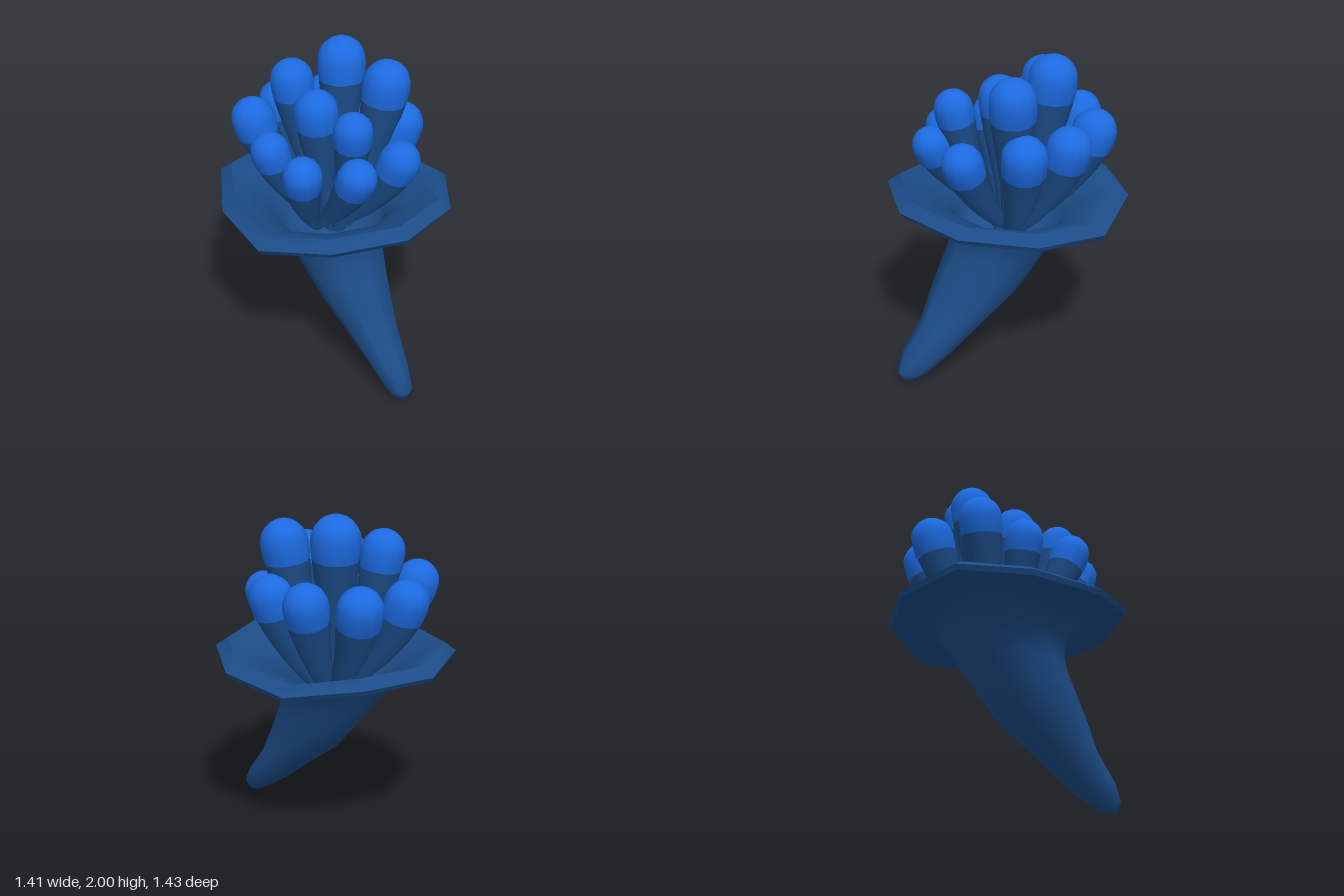
import * as THREE from 'three';
import { toCreasedNormals } from 'three/addons/utils/BufferGeometryUtils.js';

const SIDES = 10;
// Height offset of each rim corner, starting at +x and turning towards +z
const WAVE = [-0.01, 0.02, 0.04, 0.04, -0.03, 0, 0.035, 0, 0, -0.055];

// Rings of the funnel: [y, centre x, centre z, radius x, radius z, share of rim wave]
const RINGS = [
  // outside, from the foot up
  [0.0, 0.19, 0.66, 0.001, 0.001, 0],
  [0.012, 0.188, 0.648, 0.045, 0.05, 0],
  [0.06, 0.183, 0.615, 0.085, 0.105, 0],
  [0.17, 0.155, 0.515, 0.115, 0.165, 0],
  [0.34, 0.1, 0.345, 0.16, 0.207, 0],
  [0.51, 0.05, 0.2, 0.212, 0.275, 0],
  [0.66, 0.015, 0.1, 0.25, 0.3, 0],
  [0.79, -0.01, 0.02, 0.282, 0.318, 0],
  [0.87, -0.02, -0.015, 0.315, 0.335, 0],
  [0.95, -0.035, -0.04, 0.365, 0.37, 0.1],
  [1.03, -0.035, -0.045, 0.425, 0.42, 0.4],
  [1.08, -0.015, -0.035, 0.52, 0.52, 0.8],
  // lip
  [1.075, 0, -0.027, 0.69, 0.71, 1],
  [1.105, 0, -0.027, 0.705, 0.728, 1],
  [1.155, 0, -0.027, 0.635, 0.65, 1],
  // inside, going down
  [1.11, -0.01, -0.03, 0.535, 0.54, 0.75],
  [1.05, -0.02, -0.04, 0.42, 0.41, 0.4],
  [0.95, -0.03, -0.04, 0.335, 0.335, 0],
  [0.8, -0.01, 0.02, 0.25, 0.28, 0],
  [0.7, 0, 0.08, 0.001, 0.001, 0],
];

function funnelGeometry() {
  const pos = [], index = [];
  RINGS.forEach(([y, cx, cz, rx, rz, wave], i) => {
    for (let j = 0; j < SIDES; j++) {
      const a = (j / SIDES) * Math.PI * 2;
      // The rim corners lean to the right
      const skew = wave * (0.035 - 0.03 * Math.cos(a)) * Math.abs(Math.sin(a));
      pos.push(cx + rx * Math.cos(a) - skew, y + wave * WAVE[j], cz + rz * Math.sin(a));
      if (i === RINGS.length - 1) continue;
      const p = i * SIDES + j, q = i * SIDES + (j + 1) % SIDES;
      index.push(p, p + SIDES, q, q, p + SIDES, q + SIDES);
    }
  });
  const geo = new THREE.BufferGeometry();
  geo.setAttribute('position', new THREE.Float32BufferAttribute(pos, 3));
  geo.setIndex(index);
  return toCreasedNormals(geo, 1.0);
}

// Stalks: [head x, head z, top y, head radius, optional base x, base z]
const STALKS = [
  [0.11, -0.26, 2.0, 0.145],
  [0.29, 0.02, 1.945, 0.14],
  [-0.19, -0.285, 1.89, 0.13],
  [-0.13, -0.005, 1.81, 0.13],
  [-0.01, 0.30, 1.795, 0.115],
  [-0.435, -0.28, 1.68, 0.13],
  [0.40, -0.02, 1.64, 0.135],
  [0.33, -0.30, 1.64, 0.133],
  [0.105, -0.52, 1.64, 0.135],
  [-0.20, -0.525, 1.64, 0.13],
  [-0.41, -0.01, 1.58, 0.115],
  [0.27, 0.31, 1.57, 0.122, 0.11, 0.12],
  [-0.31, 0.30, 1.565, 0.115, -0.25, 0.1],
  [-0.03, 0.43, 1.57, 0.115, -0.13, 0.15],
];

export function createModel() {
  const deepBlue = new THREE.MeshStandardMaterial({ color: 0x1c4d89 });
  deepBlue.name = 'deepBlue';
  const brightBlue = new THREE.MeshStandardMaterial({ color: 0x1c6ae0 });
  brightBlue.name = 'brightBlue';

  const model = new THREE.Group();
  model.name = 'funnelWithStalks';

  const funnel = new THREE.Mesh(funnelGeometry(), deepBlue);
  funnel.name = 'funnel';
  model.add(funnel);

  const up = new THREE.Vector3(0, 1, 0);
  STALKS.forEach(([x, z, top, r, bx = x * 0.55, bz = z * 0.55 - 0.03], n) => {
    const base = new THREE.Vector3(bx, 0.85, bz);
    const axis = new THREE.Vector3(x, top - r, z).sub(base);
    const len = axis.length();
    const group = new THREE.Group();
    group.name = `stalk${n + 1}`;
    group.position.copy(base);
    group.quaternion.setFromUnitVectors(up, axis.normalize());

    // Each profile point: [radius, distance below the head centre], in head radii
    const lathe = (pts) => new THREE.LatheGeometry(
      pts.map(([pr, d]) => new THREE.Vector2(pr * r, len - d * r)), 12);

    const stemGeo = lathe([
      [0.36, len / r], [0.5, 4.2], [0.6, 3.4], [0.72, 2.5], [0.85, 1.6], [0.95, 0.8],
    ]);
    // The foot of each stem bends in towards the throat
    const p = stemGeo.attributes.position;
    for (let i = 0; i < p.count; i++) {
      const bend = 0.4 * (1 - p.getY(i) / len) ** 2;
      p.setX(i, p.getX(i) - x * bend);
      p.setZ(i, p.getZ(i) - z * bend);
    }
    const stem = new THREE.Mesh(stemGeo, deepBlue);
    stem.name = 'stem';

    const dome = [0, 1, 2, 3, 4, 5, 6].map((k) => {
      const a = (k / 6) * Math.PI / 2;
      return [Math.cos(a), -Math.sin(a)];
    });
    const headGeo = lathe([[0.95, 0.8], [1, 0.4], ...dome]);
    // Round off the shading at the crown
    const { position, normal } = headGeo.attributes;
    for (let i = 0; i < position.count; i++) {
      if (position.getY(i) > len + r * 0.999) normal.setXYZ(i, 0, 1, 0);
    }
    const head = new THREE.Mesh(headGeo, brightBlue);
    head.name = 'head';

    group.add(stem, head);
    model.add(group);
  });
  return model;
}
